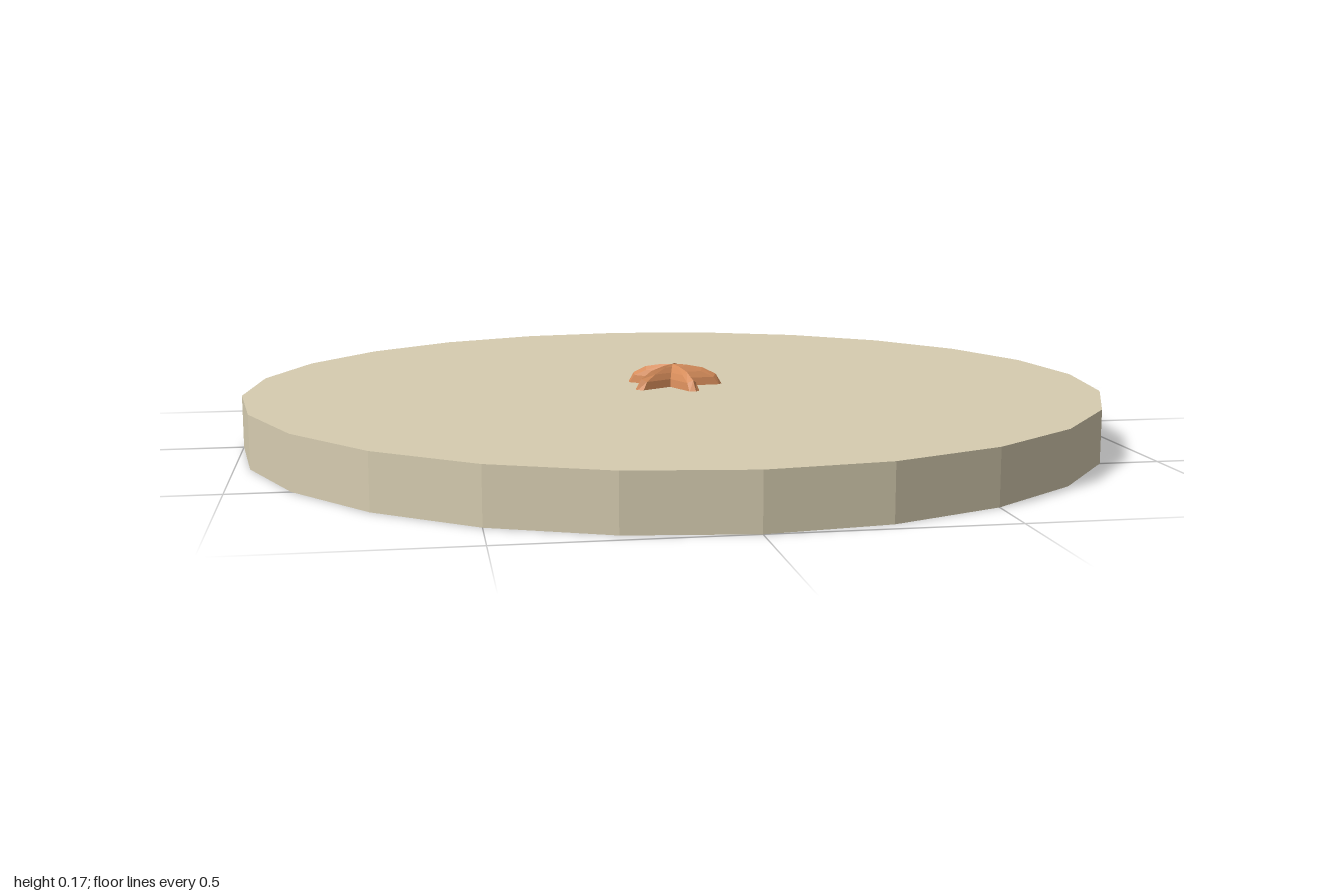
import * as THREE from 'three';

const sand = new THREE.MeshStandardMaterial({ color: 0xd6ccb0, flatShading: true });
sand.name = 'sand';
const orange = new THREE.MeshStandardMaterial({ color: 0xd68c5a, flatShading: true });
orange.name = 'starfishOrange';

// Five-armed dome: star-shaped rings shrinking towards the top point
function starfishGeometry() {
  const outline = [];
  for (let arm = 0; arm < 5; arm++) {
    const a = (arm * Math.PI * 2) / 5;
    outline.push([a - 0.12, 0.112], [a, 0.12], [a + 0.12, 0.112], [a + Math.PI / 5, 0.036]);
  }
  // Each ring: scale, ridge height, flank height
  const rings = [[1, 0.118, 0.118], [0.87, 0.144, 0.138], [0.6, 0.16, 0.152], [0.25, 0.168, 0.164]];
  const n = outline.length;
  const positions = [];
  const index = [];
  for (const [s, ridge, flank] of rings) {
    outline.forEach(([a, r], i) => {
      positions.push(Math.cos(a) * r * s, i % 4 === 1 ? ridge : flank, -Math.sin(a) * r * s);
    });
  }
  const top = rings.length * n;
  positions.push(0, 0.17, 0);
  for (let k = 0; k < rings.length; k++) {
    for (let i = 0; i < n; i++) {
      const j = (i + 1) % n;
      const a = k * n + i, b = k * n + j;
      if (k === rings.length - 1) index.push(a, b, top);
      else index.push(a, b, b + n, a, b + n, a + n);
    }
  }
  const geometry = new THREE.BufferGeometry();
  geometry.setAttribute('position', new THREE.Float32BufferAttribute(positions, 3));
  geometry.setIndex(index);
  const flat = geometry.toNonIndexed();
  flat.computeVertexNormals();
  return flat;
}

export function createModel() {
  const model = new THREE.Group();
  model.name = 'starfishOnSand';

  // Round sand slab
  const slab = new THREE.Mesh(new THREE.CylinderGeometry(1, 1, 0.12, 24), sand);
  slab.name = 'sandDisc';
  slab.position.y = 0.06;

  // Starfish resting at the centre
  const starfish = new THREE.Mesh(starfishGeometry(), orange);
  starfish.name = 'starfish';

  model.add(slab, starfish);
  return model;
}
